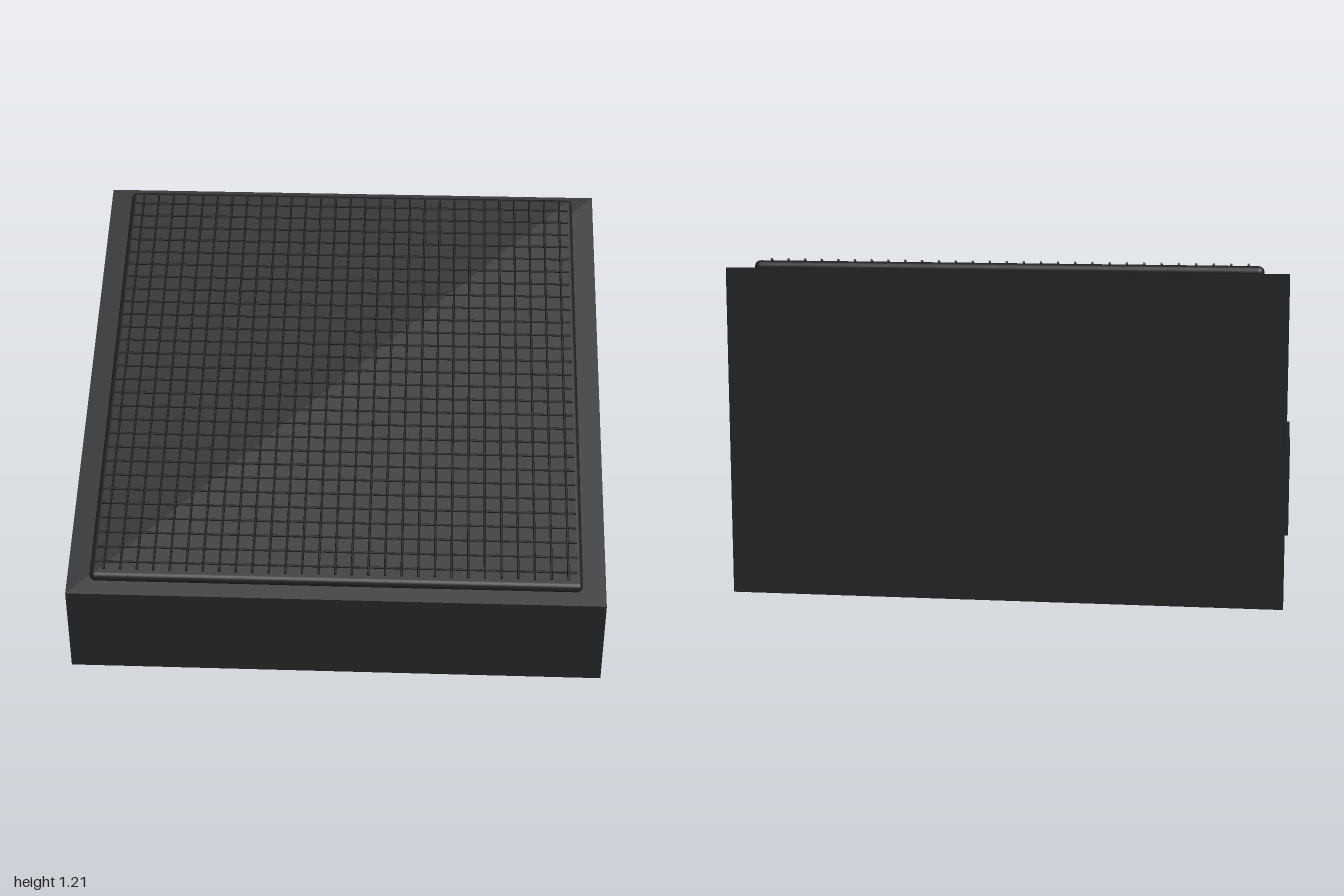
import * as THREE from 'three';
import { RoundedBoxGeometry } from 'three/addons/geometries/RoundedBoxGeometry.js';

const mat = (name, color) => Object.assign(new THREE.MeshStandardMaterial({ color }), { name });

export function createModel() {
  const cabinetBlack = mat('cabinet black', 0x222222);
  const panelBlack = mat('panel black', 0x1f1f1f);
  const wireBlack = mat('wire black', 0x121212);
  const model = new THREE.Group();
  model.name = 'wedgeCabinet';

  const add = (parent, name, geometry, material, x = 0, y = 0, z = 0) => {
    const mesh = new THREE.Mesh(geometry, material);
    mesh.name = name;
    mesh.position.set(x, y, z);
    parent.add(mesh);
    return mesh;
  };

  // Wedge body: side profile extruded across the width
  const half = 0.825, frontH = 0.335, backH = 1.185, width = 1.985, midX = 0.0075;
  const profile = new THREE.Shape([
    new THREE.Vector2(-half, 0), new THREE.Vector2(half, 0),
    new THREE.Vector2(half, backH), new THREE.Vector2(-half, frontH),
  ]);
  const wedge = new THREE.ExtrudeGeometry(profile, { depth: width, bevelEnabled: false });
  wedge.translate(0, 0, -width / 2).rotateY(Math.PI / 2);
  add(model, 'body', wedge, cabinetBlack, midX);

  // Connection plate on the right side
  add(model, 'sidePlate', new THREE.BoxGeometry(0.02, 0.335, 0.545), panelBlack, -0.99, 0.333, -0.113);

  // Grille assembly, lying parallel to the slope (local y is the slope normal)
  const grille = new THREE.Group();
  grille.name = 'grille';
  grille.position.set(midX, (frontH + backH) / 2, 0);
  grille.rotation.x = Math.atan2(backH - frontH, 2 * half);
  model.add(grille);
  add(grille, 'grillePanel', new RoundedBoxGeometry(1.81, 0.044, 1.77, 4, 0.0219), panelBlack, 0, 0.031, 0);

  // Wire mesh: long wires lie over the cross wires
  const r = 0.0042, pitch = 0.0607;
  const longWire = new THREE.CylinderGeometry(r, r, 1.71, 8).rotateX(Math.PI / 2);
  const crossWire = new THREE.CylinderGeometry(r, r, 1.77, 8).rotateZ(Math.PI / 2);
  for (let i = 0; i < 29; i++) {
    add(grille, 'longWire', longWire, wireBlack, (i - 14) * pitch, 0.063, 0);
  }
  for (let i = 0; i < 28; i++) {
    add(grille, 'crossWire', crossWire, wireBlack, 0, 0.055, (i - 13.5) * pitch);
  }
  return model;
}
